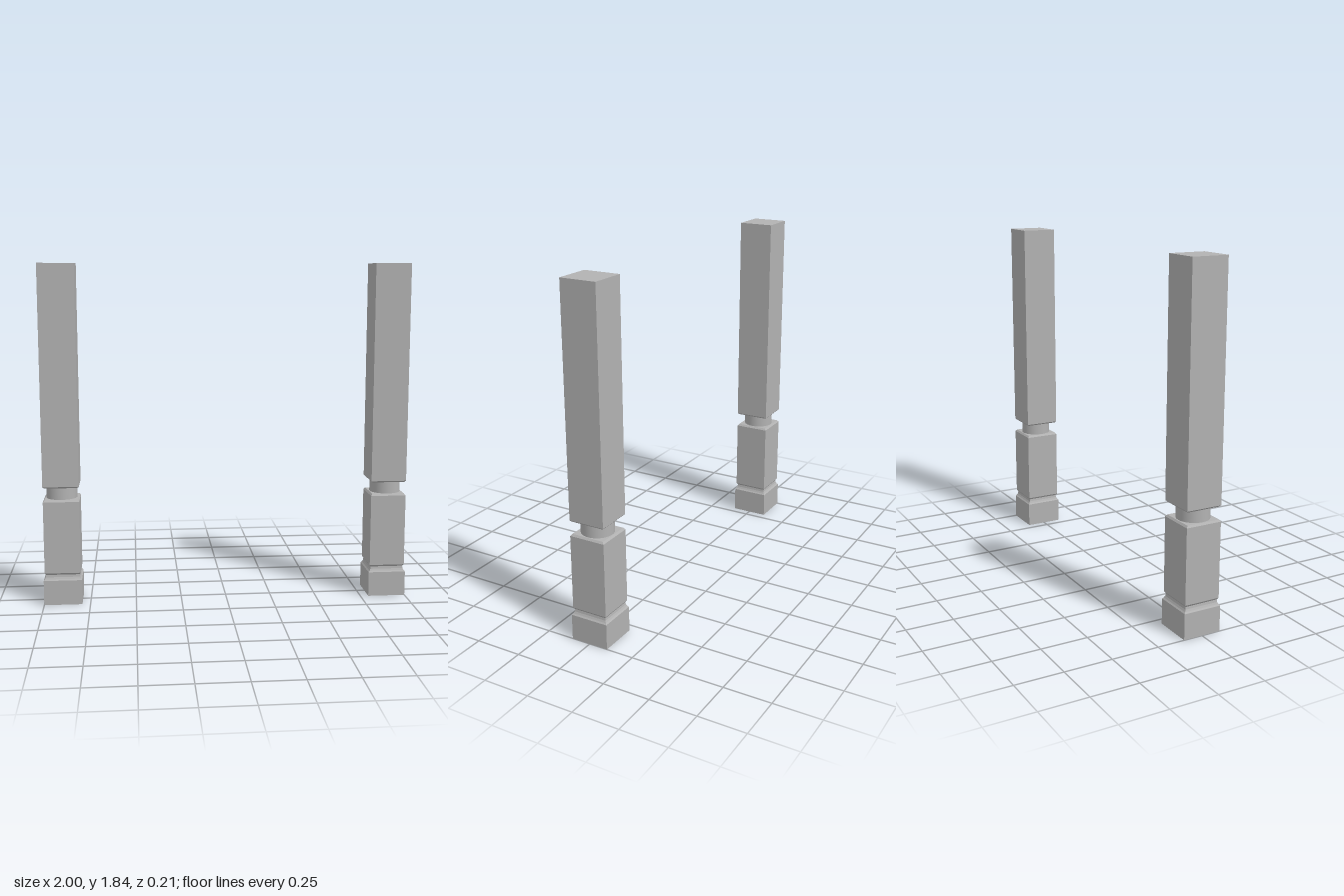
import * as THREE from 'three';

const grey = new THREE.MeshStandardMaterial({ color: 0xb2b2b2, flatShading: true });
grey.name = 'grey';
const greyOpen = grey.clone();
greyOpen.side = THREE.DoubleSide; // thin open sleeve
const greySmooth = grey.clone();
greySmooth.flatShading = false;

// Square section swept up a profile of [half width, y] pairs
function squareLoft(name, profile, material = grey) {
  const points = profile.map(([half, y]) => new THREE.Vector2(half * Math.SQRT2, y));
  const mesh = new THREE.Mesh(new THREE.LatheGeometry(points, 4, Math.PI / 4), material);
  mesh.name = name;
  return mesh;
}

// Solid square block with small chamfers where it meets the turned parts
function block(name, y0, y1, bottomHalf, topHalf, chamfer = 0.008) {
  const half = 0.097;
  const profile = [[0, y0], [bottomHalf, y0], [half, y0 + chamfer]];
  if (topHalf < half) profile.push([half, y1 - chamfer]);
  profile.push([topHalf, y1], [0, y1]);
  return squareLoft(name, profile);
}

function createPost(name, x) {
  const post = new THREE.Group();
  post.name = name;

  // Hollow base sleeve, open underneath, with a coved shoulder
  post.add(squareLoft('baseSleeve', [
    [0.103, 0], [0.103, 0.136], [0.097, 0.143], [0.092, 0.153], [0.09, 0.166],
  ], greyOpen));

  post.add(block('lowerBlock', 0.166, 0.58, 0.09, 0.089, 0.01));
  post.add(block('upperBlock', 0.645, 1.84, 0.089, 0.097));

  // Round neck between the blocks
  const neck = new THREE.Mesh(new THREE.CylinderGeometry(0.084, 0.084, 0.073, 40, 1, true), greySmooth);
  neck.name = 'neck';
  neck.position.y = 0.6125;
  post.add(neck);

  post.position.x = x;
  return post;
}

export function createModel() {
  const model = new THREE.Group();
  model.name = 'postPair';
  model.add(createPost('leftPost', 0.897), createPost('rightPost', -0.897));
  return model;
}
